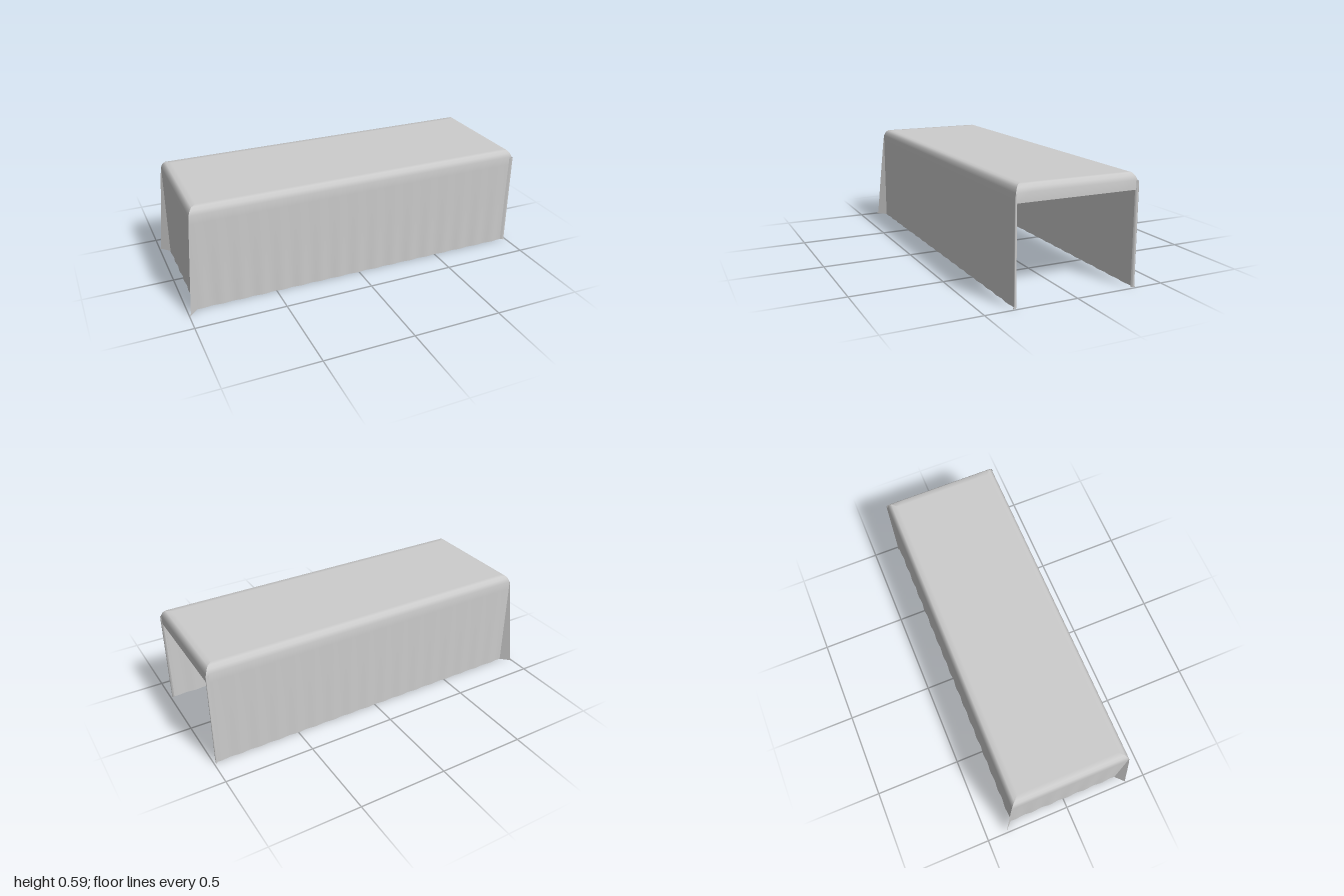
import * as THREE from 'three';

const X0 = -0.945, X1 = 0.985, Z = 0.336, H = 0.59, BEVEL = 0.022, RIM = 0.05;

// Surface through rows of [x, y, z] points, all rows the same length
function sheet(rows) {
  const n = rows[0].length, index = [];
  for (let r = 0; r < rows.length - 1; r++) {
    for (let c = 0; c < n - 1; c++) {
      const a = r * n + c, b = a + n;
      index.push(a, b, a + 1, a + 1, b, b + 1);
    }
  }
  const geo = new THREE.BufferGeometry();
  geo.setAttribute('position', new THREE.Float32BufferAttribute(rows.flat(2), 3));
  geo.setIndex(index);
  geo.computeVertexNormals();
  return geo;
}

// Hanging side between two plan corners: flat rim, soft bevel, then a rippled drop
function drape(from, to, bottom, segments, waves) {
  const d = new THREE.Vector2(to[0] - from[0], to[1] - from[1]).normalize();
  const out = [-d.y, d.x];
  const profile = [[RIM, H], [BEVEL, H], [0.009, 0.575], [0, 0.553], [0, 0.505]];
  if (bottom < 0.5) profile.push([0, 0.35], [0, 0.18], [0, 0]);
  return sheet(profile.map(([inset, y]) => {
    const row = [];
    for (let i = 0; i <= segments; i++) {
      const t = i / segments;
      // mitred ends keep neighbouring sides joined
      const shift = inset * (1 - 2 * t);
      const ripple = 0.0025 * Math.sin(t * waves * Math.PI * 2) * Math.max(0, 1 - y / 0.55);
      const off = ripple - inset;
      row.push([
        from[0] + (to[0] - from[0]) * t + d.x * shift + out[0] * off,
        y,
        from[1] + (to[1] - from[1]) * t + d.y * shift + out[1] * off,
      ]);
    }
    return row;
  }));
}

export function createModel() {
  const group = new THREE.Group();
  const cloth = new THREE.MeshStandardMaterial({ color: 0xcccccc, side: THREE.DoubleSide });
  cloth.name = 'grey cloth';
  const add = (name, geo) => {
    const mesh = new THREE.Mesh(geo, cloth);
    mesh.name = name;
    group.add(mesh);
    return mesh;
  };

  // Flat top inside the rim
  const top = new THREE.PlaneGeometry(X1 - X0 - 2 * RIM, 2 * (Z - RIM)).rotateX(-Math.PI / 2);
  add('clothTop', top.translate((X0 + X1) / 2, H, 0));

  // Four sides; the +x one is only a short valance over the open end
  add('frontDrape', drape([X0, Z], [X1, Z], 0, 180, 17));
  add('openEndValance', drape([X1, Z], [X1, -Z], 0.505, 8, 0));
  add('backDrape', drape([X1, -Z], [X0, -Z], 0, 180, 17));
  add('closedEndDrape', drape([X0, -Z], [X0, Z], 0, 64, 6));

  for (const s of [1, -1]) {
    const side = s > 0 ? 'front' : 'back';

    // Gathered corner fold flaring diagonally towards the floor
    const fold = [[0.555, 0], [0.5, 0.006], [0.25, 0.027], [0.012, 0.046], [0, 0.055]];
    add(side + 'CornerFold', sheet(fold.map(([y, f]) => [
      [X0, y, s * Z],
      [X0 - f, y, s * (Z + f * 0.98)],
    ])));

    // Turned hem along the free vertical edge
    const hem = [[0.968, 0.335], [0.978, 0.339], [0.988, 0.343], [0.99, 0.338], [0.988, 0.331], [0.98, 0.326]];
    const levels = [[0.55, -0.003], [0.535, 0], [0.015, 0], [0, 0.005]];
    add(side + 'EdgeHem', sheet(levels.map(([y, flare]) =>
      hem.map(([x, z], i) => [x, y, s * (z + (i === 2 || i === 3 ? flare : 0))]))));
  }
  return group;
}
